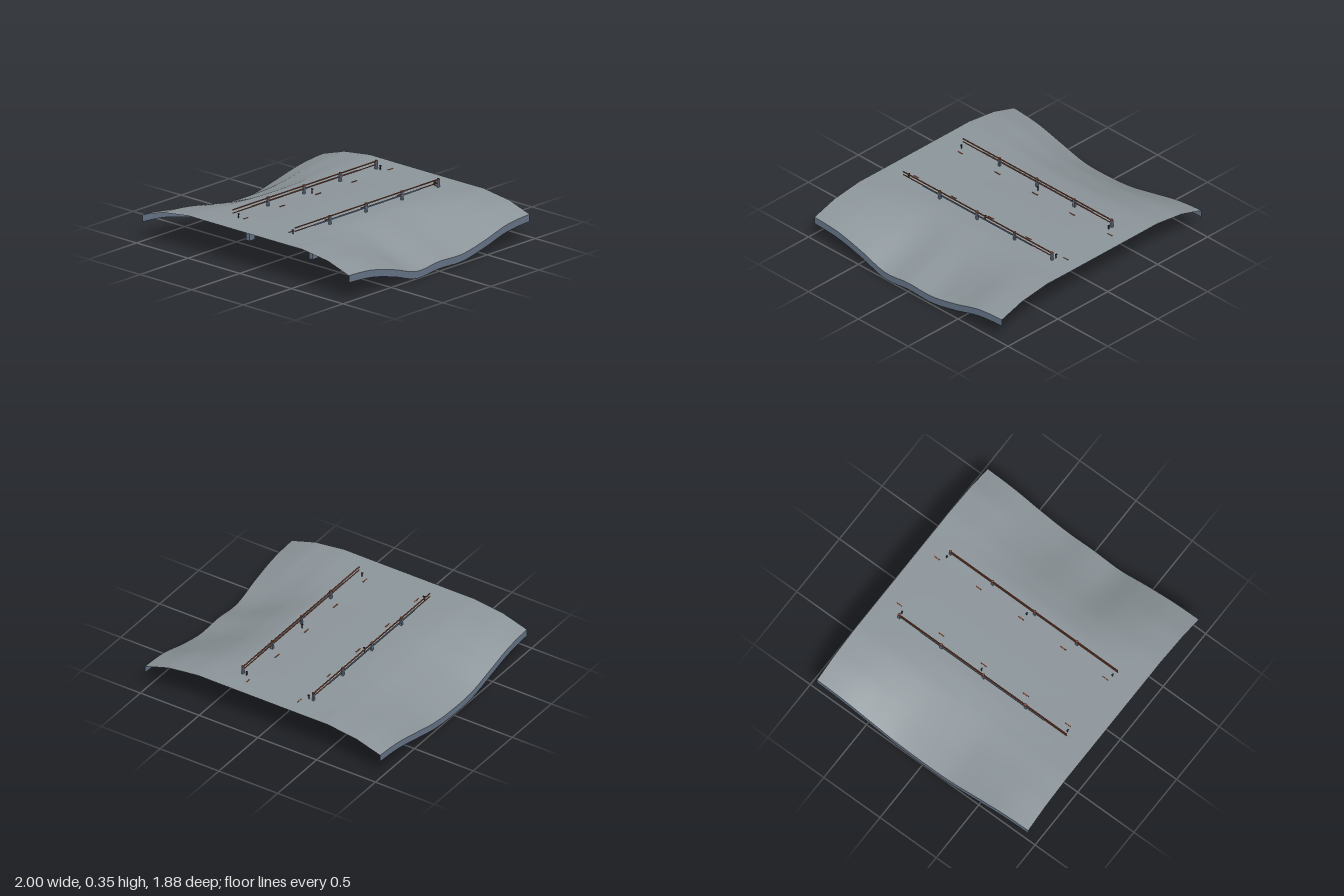
import * as THREE from 'three';

const HALF_Z = 0.94, DROP = 0.054;

// Height of each side edge at nine even steps from back to front
const edgeCurve = (ys) => new THREE.SplineCurve(ys.map((y, i) => new THREE.Vector2(i, y)));
const leftEdge = edgeCurve([0.2, 0.18, 0.118, 0.073, 0.077, 0.06, 0.13, 0.184, 0.2]);
const rightEdge = edgeCurve([0.2, 0.178, 0.128, 0.078, 0.06, 0.067, 0.122, 0.178, 0.2]);

// Cross-sections from the centre outwards: at the ends, and at the deepest dip
const X = [0, 0.38, 0.55, 0.8, 1];
const END = [0.293, 0.293, 0.294, 0.262, 0.2];
const DIP_LEFT = [0.293, 0.288, 0.235, 0.128, 0.06];
const DIP_RIGHT = [0.293, 0.289, 0.262, 0.17, 0.06];

function along(keys, x) {
  let i = 0;
  while (i < X.length - 2 && x > X[i + 1]) i++;
  return THREE.MathUtils.lerp(keys[i], keys[i + 1], (x - X[i]) / (X[i + 1] - X[i]));
}

function height(x, z) {
  const curve = x > 0 ? leftEdge : rightEdge;
  const edge = curve.getPoint(THREE.MathUtils.clamp((z + HALF_Z) / (2 * HALF_Z), 0, 1)).y;
  const dip = (0.2 - edge) / 0.14;
  const a = Math.abs(x);
  return THREE.MathUtils.lerp(along(END, a), along(x > 0 ? DIP_LEFT : DIP_RIGHT, a), dip);
}

export function createModel() {
  const group = new THREE.Group();
  const material = (name, color, side = THREE.FrontSide) => {
    const m = new THREE.MeshStandardMaterial({ color, side });
    m.name = name;
    return m;
  };
  const ground = material('stone grey', 0x8c959a, THREE.DoubleSide);
  const slate = material('slate', 0x667488, THREE.DoubleSide);
  const rust = material('rust brown', 0x8f4f36);
  const dark = material('dark iron', 0x363b42);

  const add = (name, geometry, mat, x = 0, y = 0, z = 0) => {
    const mesh = new THREE.Mesh(geometry, mat);
    mesh.name = name;
    mesh.position.set(x, y, z);
    group.add(mesh);
    return mesh;
  };
  const box = (name, mat, w, h, d, x, y, z) => add(name, new THREE.BoxGeometry(w, h, d), mat, x, y, z);

  // Draped ground sheet
  const sheet = new THREE.PlaneGeometry(2, 2 * HALF_Z, 40, 48).rotateX(-Math.PI / 2);
  const p = sheet.attributes.position;
  for (let i = 0; i < p.count; i++) p.setY(i, height(p.getX(i), p.getZ(i)));
  sheet.computeVertexNormals();
  add('groundSheet', sheet, ground);

  for (const side of [-1, 1]) {
    // Side skirt hanging from the sheet's edge
    const skirt = new THREE.PlaneGeometry(2 * HALF_Z, 1, 48, 1).rotateY(side * Math.PI / 2);
    const s = skirt.attributes.position;
    for (let i = 0; i < s.count; i++) {
      const top = height(side, s.getZ(i));
      s.setXYZ(i, side, s.getY(i) > 0 ? top : top - DROP, s.getZ(i));
    }
    skirt.computeVertexNormals();
    add('sideSkirt', skirt, slate);

    // Railing: two tubes, a backing strip and capped posts
    for (const [y, r] of [[0.35, 0.005], [0.325, 0.004]]) {
      const rail = new THREE.CylinderGeometry(r, r, 1.5, 8).rotateX(Math.PI / 2);
      add('rail', rail, rust, side * 0.3, y, 0);
    }
    box('railStrip', slate, 0.004, 0.01, 1.1, side * 0.304, 0.325, 0);
    for (const z of [-0.74, -0.365, 0.01, 0.385]) {
      box('railPost', slate, 0.015, 0.068, 0.018, side * 0.3, 0.319, z);
      add('postCap', new THREE.CylinderGeometry(0.01, 0.01, 0.008, 10), rust, side * 0.3, 0.353, z);
    }

    // Small lamp stakes
    for (const z of [-0.745, -0.035, 0.73]) {
      box('stake', dark, 0.006, 0.042, 0.006, side * 0.265, 0.299, z);
      box('stakeHead', dark, 0.016, 0.006, 0.01, side * 0.263, 0.322, z);
    }

    // Deck markers
    for (let i = 0; i < 5; i++) {
      box('deckMarker', rust, 0.007, 0.005, 0.05, side * 0.22, 0.293, -0.8 + i * 0.375);
    }
  }

  // Supports beneath: paired columns joined by cross beams
  for (let i = 0; i < 4; i++) {
    const z = -0.563 + i * 0.375;
    for (const side of [-1, 1]) box('column', slate, 0.033, 0.187, 0.055, side * 0.305, 0.173, z);
    box('crossBeam', rust, 0.59, 0.032, 0.036, 0, 0.22, z);
    box('beamTop', slate, 0.59, 0.012, 0.036, 0, 0.242, z);
  }
  return group;
}
